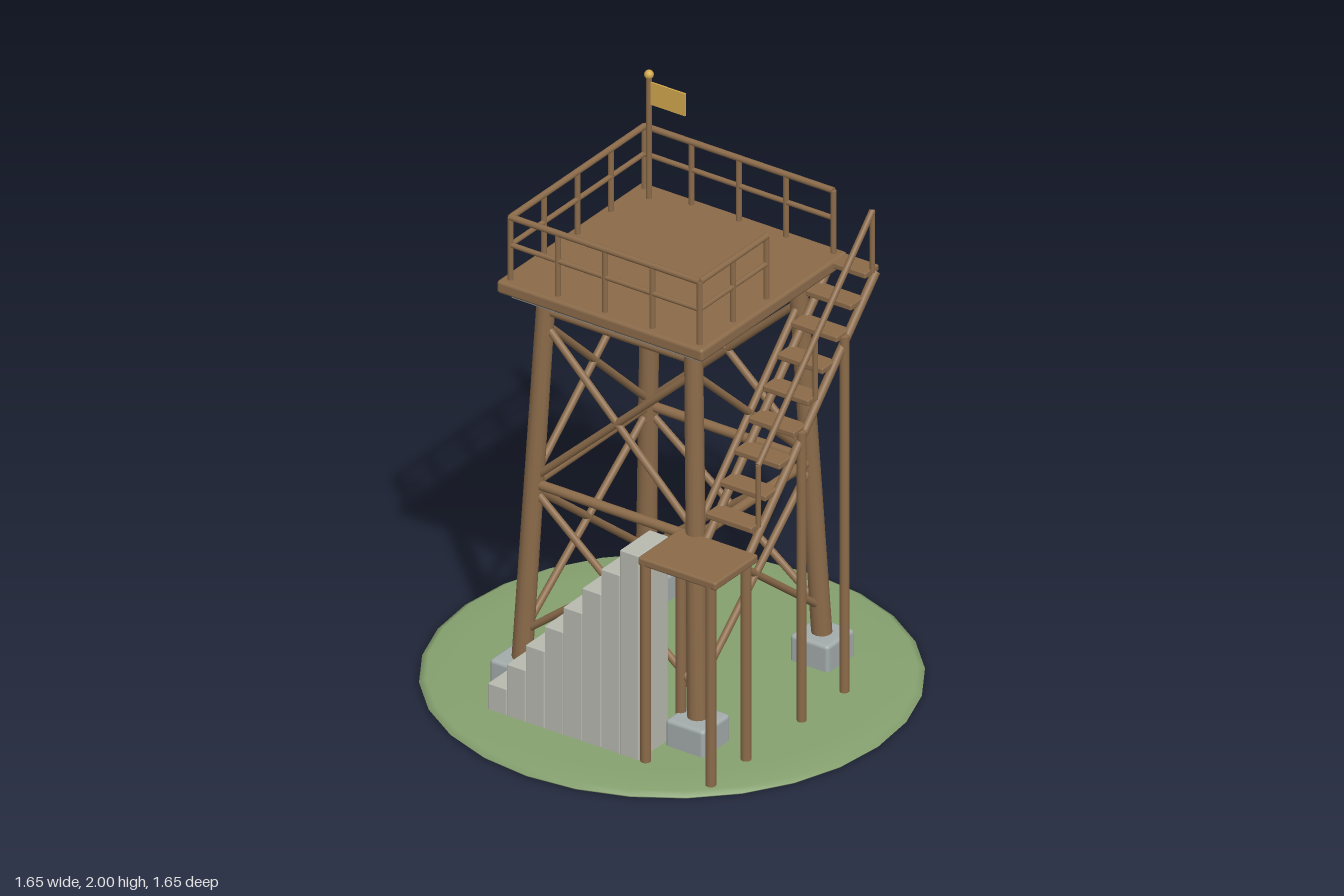
import * as THREE from 'three';
import { RoundedBoxGeometry } from 'three/addons/geometries/RoundedBoxGeometry.js';

const mat = (color) => new THREE.MeshStandardMaterial({ color });
const wood = mat(0x8b6b4a), stone = mat(0xb8bab0), concrete = mat(0xa3abab);
const plate = mat(0x9aa3a8), grass = mat(0x86a16f), gold = mat(0xd2a84e);
const V = (x, y, z) => new THREE.Vector3(x, y, z);

export function createModel() {
  const root = new THREE.Group();
  root.name = 'watchtower';

  const group = (name) => {
    const g = new THREE.Group();
    g.name = name;
    root.add(g);
    return g;
  };
  const add = (parent, name, geometry, material) => {
    const m = new THREE.Mesh(geometry, material);
    m.name = name;
    parent.add(m);
    return m;
  };
  // Round bar between two points
  const bar = (parent, name, a, b, r0, r1 = r0, material = wood) => {
    const dir = b.clone().sub(a);
    const m = add(parent, name, new THREE.CylinderGeometry(r1, r0, dir.length(), 12), material);
    m.position.copy(a).add(b).multiplyScalar(0.5);
    m.quaternion.setFromUnitVectors(V(0, 1, 0), dir.normalize());
    return m;
  };
  // Softly rounded box given by its limits on each axis
  const box = (parent, name, [x0, x1], [y0, y1], [z0, z1], radius, material = wood) => {
    const g = new RoundedBoxGeometry(x1 - x0, y1 - y0, z1 - z0, 2, radius);
    const m = add(parent, name, g, material);
    m.position.set((x0 + x1) / 2, (y0 + y1) / 2, (z0 + z1) / 2);
    return m;
  };

  // Low grassy mound
  const mound = [[0, 0], [0.815, 0], [0.823, 0.008], [0.8, 0.021], [0.68, 0.028], [0, 0.033]];
  add(root, 'ground', new THREE.LatheGeometry(mound.map((p) => new THREE.Vector2(...p)), 28), grass);

  // Leaning legs on footings
  const legAt = (y) => 0.352 - 0.06 * (y - 0.05) / 1.42;
  const legs = group('legs');
  for (const sx of [-1, 1]) for (const sz of [-1, 1]) {
    const f = box(legs, 'footing', [-0.077, 0.077], [0.005, 0.125], [-0.077, 0.077], 0.014, concrete);
    f.position.x = sx * 0.35;
    f.position.z = sz * 0.35;
    const b = legAt(0.05), t = legAt(1.47);
    bar(legs, 'leg', V(sx * b, 0.05, sz * b), V(sx * t, 1.47, sz * t), 0.035, 0.031);
  }

  // Girts and crossed braces on each of the four faces
  const bracing = group('bracing');
  for (let i = 0; i < 4; i++) {
    const side = new THREE.Group();
    side.name = 'braceFace';
    side.rotation.y = i * Math.PI / 2;
    bracing.add(side);
    for (const y of [0.765, 1.405]) {
      const w = legAt(y);
      bar(side, 'girt', V(-w, y, w), V(w, y, w), 0.017);
    }
    for (const [y0, y1] of [[0.22, 0.745], [0.785, 1.355]]) for (const s of [-1, 1]) {
      const a = legAt(y0), b = legAt(y1);
      bar(side, 'crossBrace', V(-s * a, y0, a), V(s * b, y1, b), 0.013);
    }
  }

  // Deck
  const deck = group('deck');
  box(deck, 'deckFloor', [-0.41, 0.41], [1.48, 1.527], [-0.41, 0.41], 0.012);
  box(deck, 'deckUnderplate', [-0.375, 0.375], [1.457, 1.485], [-0.375, 0.375], 0.004, plate);

  // Railing with an opening at the head of the stair
  const railing = group('railing');
  const E = 0.376;
  const rails = [
    [V(-E, 0, E), V(E, 0, E), 4],
    [V(-E, 0, -E), V(E, 0, -E), 4],
    [V(-E, 0, -E), V(-E, 0, E), 4],
    [V(E, 0, 0), V(E, 0, E), 2],
  ];
  for (const [a, b, n] of rails) {
    for (let i = 0; i <= n; i++) {
      const p = a.clone().lerp(b, i / n);
      bar(railing, 'railPost', p.clone().setY(1.52), p.clone().setY(1.757), 0.01);
    }
    bar(railing, 'topRail', a.clone().setY(1.757), b.clone().setY(1.757), 0.011);
    bar(railing, 'midRail', a.clone().setY(1.655), b.clone().setY(1.655), 0.009);
  }

  // Flag
  const flag = group('flag');
  bar(flag, 'flagpole', V(-0.325, 1.52, -0.33), V(-0.325, 1.98, -0.33), 0.01, 0.009);
  add(flag, 'finial', new THREE.SphereGeometry(0.016, 16, 12), gold).position.set(-0.325, 1.985, -0.33);
  const cloth = add(flag, 'flagCloth', new THREE.BoxGeometry(0.138, 0.083, 0.006), gold);
  cloth.position.set(-0.249, 1.918, -0.33);

  // Solid stone steps
  const steps = group('stoneSteps');
  for (let i = 0; i < 8; i++) {
    const x = -0.337 + i * 0.075;
    box(steps, 'stoneStep', [x, x + 0.075], [0.005, 0.125 + i * 0.0943], [0.392, 0.56], 0.004, stone);
  }

  // Landing on four posts
  const landing = group('landing');
  box(landing, 'landingFloor', [0.262, 0.573], [0.755, 0.785], [0.323, 0.565], 0.008);
  for (const x of [0.283, 0.542]) for (const z of [0.35, 0.548]) {
    bar(landing, 'landingPost', V(x, 0.005, z), V(x, 0.765, z), 0.018);
  }

  // Wooden stair from the landing to the deck
  const stair = group('stair');
  const treadY = (i) => 0.855 + i * 0.0819;
  const treadZ = (i) => 0.275 - i * 0.0802;
  for (let i = 0; i < 9; i++) {
    const y = treadY(i), z = treadZ(i);
    box(stair, 'tread', [0.355, 0.537], [y - 0.011, y + 0.011], [z - 0.039, z + 0.039], 0.005);
  }
  for (const x of [0.365, 0.535]) {
    bar(stair, 'stringer', V(x, 0.77, 0.325), V(x, 1.5, -0.39), 0.015);
  }
  for (const i of [3, 6]) {
    bar(stair, 'stairPost', V(0.54, 0.005, treadZ(i)), V(0.54, treadY(i), treadZ(i)), 0.016);
  }
  const handX = 0.538;
  for (const i of [0, 4, 8]) {
    bar(stair, 'handrailPost', V(handX, treadY(i), treadZ(i)), V(handX, treadY(i) + 0.228, treadZ(i)), 0.009);
  }
  bar(stair, 'handrail', V(handX, treadY(0) + 0.228, treadZ(0)), V(handX, treadY(8) + 0.228, treadZ(8)), 0.011);

  return root;
}
